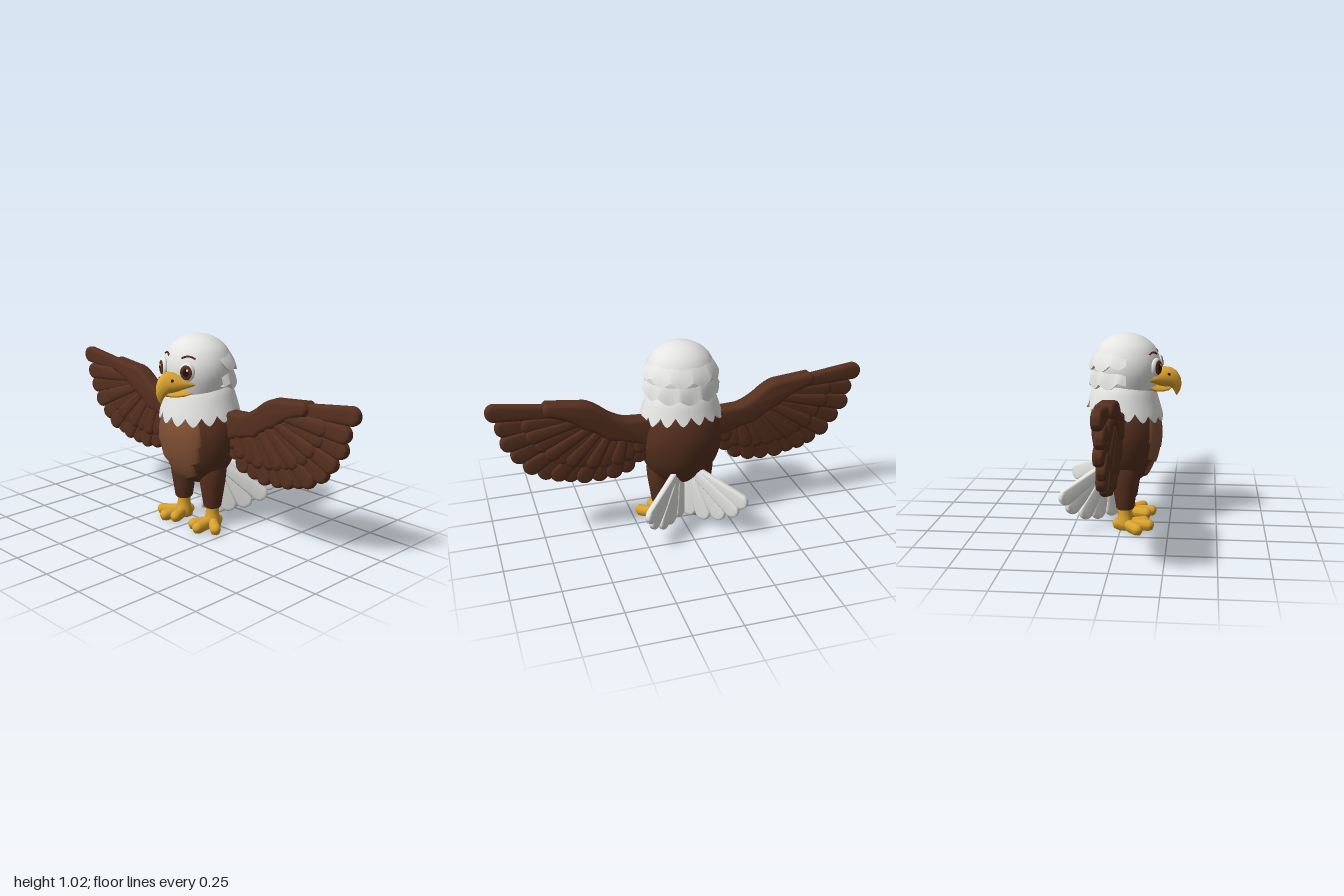
import * as THREE from 'three';
import { toCreasedNormals } from 'three/addons/utils/BufferGeometryUtils.js';

const mat = (name, color) => {
  const m = new THREE.MeshStandardMaterial({ color, side: THREE.DoubleSide });
  m.name = name;
  return m;
};

// Grid surface: i runs sideways, j runs along; outside is counter-clockwise
function grid(nu, nv, f) {
  const pos = [], idx = [], at = (i, j) => j * (nu + 1) + i;
  for (let j = 0; j <= nv; j++) for (let i = 0; i <= nu; i++) pos.push(...f(i / nu, j));
  for (let j = 0; j < nv; j++) for (let i = 0; i < nu; i++) {
    idx.push(at(i, j), at(i, j + 1), at(i + 1, j), at(i + 1, j), at(i, j + 1), at(i + 1, j + 1));
  }
  const g = new THREE.BufferGeometry();
  g.setAttribute('position', new THREE.Float32BufferAttribute(pos, 3));
  g.setIndex(idx);
  return toCreasedNormals(g, 0.7);
}

// Round trunk with an oval section: profile of [radius, y] from the bottom up
function trunk(profile, cz, ratio) {
  const pts = new THREE.SplineCurve(profile.map(p => new THREE.Vector2(...p))).getPoints(40);
  pts.forEach(p => { p.x = Math.max(p.x, 0); });
  const radius = y => {
    const k = pts.findIndex(p => p.y >= y);
    if (k < 1) return pts[k < 0 ? pts.length - 1 : 0].x;
    const a = pts[k - 1], b = pts[k];
    return a.x + (b.x - a.x) * (y - a.y) / (b.y - a.y || 1);
  };
  return {
    geometry: () => new THREE.LatheGeometry(pts, 40).scale(1, 1, ratio).translate(0, 0, cz),
    point: (t, y, off = 0) => {
      const r = radius(y) + off;
      return [r * Math.sin(t), y, cz + ratio * r * Math.cos(t)];
    },
  };
}

// Layer lying on a trunk, with its lower edge lifted and then turned in
function layer(base, t0, t1, nu, top, bottom, off) {
  const rows = 7;
  return grid(nu, rows, (u, j) => {
    const t = t0 + (t1 - t0) * u, v = Math.min(j / (rows - 1), 1), b = bottom(t, u * 2 - 1);
    return base.point(t, top + (b - top) * v, j === rows ? -0.02 : off(v, u * 2 - 1));
  });
}

// Beak half lofted through [topZ, topY, lowZ, lowY, halfWidth]
const loft = rows => grid(24, rows.length - 1, (u, j) => {
  const [tz, ty, bz, by, w] = rows[j], a = u * Math.PI * 2, c = Math.cos(a);
  return [w * Math.sin(a) * (1 - 0.3 * c), (ty + by) / 2 + (ty - by) / 2 * c, (tz + bz) / 2 + (tz - bz) / 2 * c];
});

function slab(shape, depth, b) {
  const g = new THREE.ExtrudeGeometry(shape, {
    depth: depth - 2 * b, bevelThickness: b, bevelSize: b, bevelOffset: -b, bevelSegments: 3, curveSegments: 8,
  });
  return toCreasedNormals(g.translate(0, 0, b - depth / 2), 0.6);
}

// Round-tipped feather from root to tip in the xy plane
function feather(x0, y0, x1, y1, width, depth) {
  const L = Math.hypot(x1 - x0, y1 - y0), r = width / 2, s = new THREE.Shape();
  s.moveTo(0, -r * 0.6);
  s.lineTo(L - r, -r);
  s.absarc(L - r, 0, r, -Math.PI / 2, Math.PI / 2, false);
  s.lineTo(0, r * 0.6);
  s.closePath();
  return slab(s, depth, depth * 0.35).rotateZ(Math.atan2(y1 - y0, x1 - x0)).translate(x0, y0, 0);
}

export function createModel() {
  const model = new THREE.Group();
  const brown = mat('darkBrown', 0x56301f), tan = mat('chestBrown', 0x7f4f33), white = mat('white', 0xe4e4e2);
  const yellow = mat('yellow', 0xdaa22e), iris = mat('irisBrown', 0x5e2b18), black = mat('black', 0x1c1210);
  const add = (parent, name, geometry, material) => {
    const m = new THREE.Mesh(geometry, material);
    m.name = name;
    parent.add(m);
    return m;
  };
  const group = (name, parent = model) => {
    const g = new THREE.Group();
    g.name = name;
    parent.add(g);
    return g;
  };
  const ball = (x, y, z) => new THREE.SphereGeometry(1, 24, 16).scale(x, y, z);

  // Body
  const body = trunk([[0, 0.225], [0.07, 0.236], [0.13, 0.27], [0.178, 0.33], [0.21, 0.4], [0.228, 0.5],
    [0.215, 0.59], [0.18, 0.66], [0.13, 0.72]], 0.018, 0.8);
  add(model, 'body', body.geometry(), brown);

  // Chest in three overlapping V-edged plates
  [[0.3, 0.255, 0.3, 0.66], [0.47, 0.335, 0.385, 0.76], [0.64, 0.415, 0.475, 0.8]].forEach(([top, mid, side, hw], k) => {
    add(model, 'chestPlate', layer(body, -hw, hw, 24, k < 2 ? top + 0.06 : top,
      (t, u) => mid + (side - mid) * Math.abs(u),
      (v, u) => 0.003 + 0.012 * v - 0.018 * u ** 8), tan);
  });

  // Head, back plumage and collar
  const head = trunk([[0.14, 0.66], [0.155, 0.71], [0.174, 0.77], [0.185, 0.83], [0.178, 0.89],
    [0.148, 0.95], [0.1, 0.99], [0.05, 1.01], [0, 1.017]], 0.02, 0.96);
  add(model, 'head', head.geometry(), white);
  const teeth = (t, n, phase) => {
    const f = ((t * n / (Math.PI * 2) + phase) % 1 + 1) % 1;
    return Math.abs(2 * f - 1) ** 1.5;
  };
  [[0.94, 0.832, 0.4, 0.022], [0.84, 0.738, 0, 0.036]].forEach(([top, low, phase, lift]) => {
    add(model, 'backPlumage', layer(head, 1.5, Math.PI * 2 - 1.5, 88, top,
      (t, u) => low + 0.03 * teeth(t, 11, phase) + 0.03 * u ** 4,
      (v, u) => -0.004 + lift * v - 0.008 * u ** 8), white);
  });
  const collar = trunk([[0.232, 0.54], [0.226, 0.6], [0.207, 0.66], [0.18, 0.74], [0.15, 0.78]], 0.005, 0.9);
  add(model, 'collar', layer(collar, -Math.PI, Math.PI, 128, 0.77,
    t => 0.6 - 0.033 * Math.cos(t) + 0.045 * teeth(t, 16, 0), () => 0), white);

  // Hooked beak
  const beak = group('beak');
  add(beak, 'upperBeak', loft([[0.15, 0.825, 0.14, 0.765, 0.115], [0.185, 0.838, 0.165, 0.758, 0.1],
    [0.215, 0.846, 0.2, 0.745, 0.077], [0.25, 0.841, 0.228, 0.74, 0.057], [0.28, 0.822, 0.245, 0.74, 0.043],
    [0.299, 0.79, 0.256, 0.734, 0.032], [0.305, 0.755, 0.266, 0.719, 0.022], [0.297, 0.72, 0.273, 0.705, 0.012],
    [0.28, 0.694, 0.28, 0.694, 0.001]]), yellow);
  add(beak, 'lowerBeak', loft([[0.14, 0.77, 0.145, 0.73, 0.095], [0.175, 0.762, 0.175, 0.717, 0.08],
    [0.21, 0.75, 0.21, 0.716, 0.056], [0.24, 0.745, 0.24, 0.722, 0.034], [0.258, 0.74, 0.258, 0.736, 0.004]]), yellow);

  for (const s of [1, -1]) {
    const side = s > 0 ? 'left' : 'right';
    add(beak, side + 'Nostril', ball(0.006, 0.008, 0.009).translate(s * 0.046, 0.81, 0.24), black);

    // Eye and brow
    const eye = group(side + 'Eye'), turn = s * 0.48;
    eye.position.set(...head.point(turn, 0.852));
    eye.rotation.y = turn;
    add(eye, 'eyeball', ball(0.042, 0.048, 0.02), white);
    add(eye, 'iris', ball(0.031, 0.037, 0.008).translate(0, 0, 0.015), iris);
    add(eye, 'pupil', ball(0.017, 0.021, 0.004).translate(0, 0, 0.0205), black);
    add(eye, 'glint', ball(0.006, 0.007, 0.003).translate(0.009, 0.012, 0.0225), white);
    const arc = [0, 1, 2, 3, 4].map(k => new THREE.Vector3(
      ...head.point(s * (0.28 + 0.11 * k), 0.907 + 0.02 * Math.sin(0.5 + k * 0.55), 0.002)));
    add(model, side + 'Brow', new THREE.TubeGeometry(new THREE.CatmullRomCurve3(arc), 16, 0.005, 6), iris);

    // Wing: flight feathers, coverts over them, and the arm
    const wing = group(side + 'Wing');
    wing.position.z = -0.018;
    const flight = [[0.5, 0.717, 1, 0.765], [0.55, 0.69, 0.96, 0.668], [0.53, 0.67, 0.94, 0.58], [0.5, 0.65, 0.89, 0.497],
      [0.48, 0.63, 0.83, 0.425], [0.46, 0.62, 0.755, 0.375], [0.44, 0.6, 0.69, 0.355], [0.42, 0.59, 0.625, 0.335],
      [0.39, 0.58, 0.55, 0.318], [0.35, 0.57, 0.465, 0.31], [0.31, 0.57, 0.385, 0.318], [0.27, 0.57, 0.31, 0.335],
      [0.22, 0.57, 0.245, 0.39]];
    flight.forEach(([x0, y0, x1, y1], k) => {
      const z = (k % 2 ? 1 : -1) * 0.004;
      add(wing, 'flightFeather', feather(s * x0, y0, s * x1, y1, 0.092, 0.05).translate(0, 0, z), brown);
      if (k === 0) return;
      const f = 0.7, cx = x0 + (x1 - x0) * f, cy = y0 + (y1 - y0) * f;
      add(wing, 'covertFeather', feather(s * x0, y0, s * cx, cy, 0.088, 0.072).translate(0, 0, z), brown);
    });
    const arm = new THREE.Shape();
    arm.moveTo(s * 0.15, 0.64);
    arm.lineTo(s * 0.3, 0.648);
    arm.quadraticCurveTo(s * 0.36, 0.665, s * 0.41, 0.705);
    arm.quadraticCurveTo(s * 0.48, 0.765, s * 0.53, 0.764);
    arm.lineTo(s * 0.7, 0.782);
    arm.quadraticCurveTo(s * 0.74, 0.76, s * 0.71, 0.715);
    arm.quadraticCurveTo(s * 0.6, 0.69, s * 0.53, 0.625);
    arm.quadraticCurveTo(s * 0.46, 0.6, s * 0.4, 0.545);
    arm.quadraticCurveTo(s * 0.3, 0.53, s * 0.15, 0.47);
    arm.closePath();
    add(wing, 'wingArm', slab(arm, 0.094, 0.022), brown);

    // Tail fan, set diagonally
    const tail = group(side + 'TailFan');
    tail.position.x = -0.03 * s;
    tail.rotation.y = s > 0 ? Math.PI / 4 : Math.PI * 3 / 4;
    const fan = [[0.095, 0.315, 0.298, 0.185], [0.085, 0.31, 0.262, 0.118], [0.075, 0.305, 0.198, 0.066],
      [0.065, 0.3, 0.13, 0.043], [0.058, 0.295, 0.058, 0.042]];
    fan.forEach(([u0, y0, u1, y1], k) => {
      add(tail, 'tailFeather', feather(u0 * Math.SQRT2, y0, u1 * Math.SQRT2, y1, 0.088, 0.032)
        .translate(0, 0, (k % 2 ? 1 : -1) * 0.003), white);
    });

    // Leg and shank
    const leg = group(side + 'Leg');
    leg.position.set(s * 0.11, 0, 0.022);
    const turned = (...p) => new THREE.LatheGeometry(p.map(q => new THREE.Vector2(...q)), 24);
    add(leg, 'thigh', turned([0, 0.11], [0.04, 0.108], [0.047, 0.115], [0.057, 0.18], [0.068, 0.25], [0.074, 0.32], [0.06, 0.38]), brown);
    add(leg, 'shank', turned([0, 0], [0.045, 0], [0.046, 0.035], [0.038, 0.058], [0.034, 0.085], [0.035, 0.12]), yellow);

    // Toes, flattened against the ground
    [[0.02, 0.152], [0.118, 0.088], [-0.05, 0.125], [0, -0.067]].forEach(([x, z]) => {
      const r = 0.028, L = Math.hypot(x, z) - r;
      const g = new THREE.CapsuleGeometry(r, L, 8, 16).rotateX(Math.PI / 2).translate(0, 0.027, L / 2);
      g.rotateY(Math.atan2(s * x, z));
      const p = g.attributes.position;
      for (let k = 0; k < p.count; k++) p.setY(k, Math.max(0, p.getY(k) < 0.008 ? 0 : p.getY(k)));
      g.computeVertexNormals();
      add(leg, 'toe', g, yellow);
    });
  }
  return model;
}
